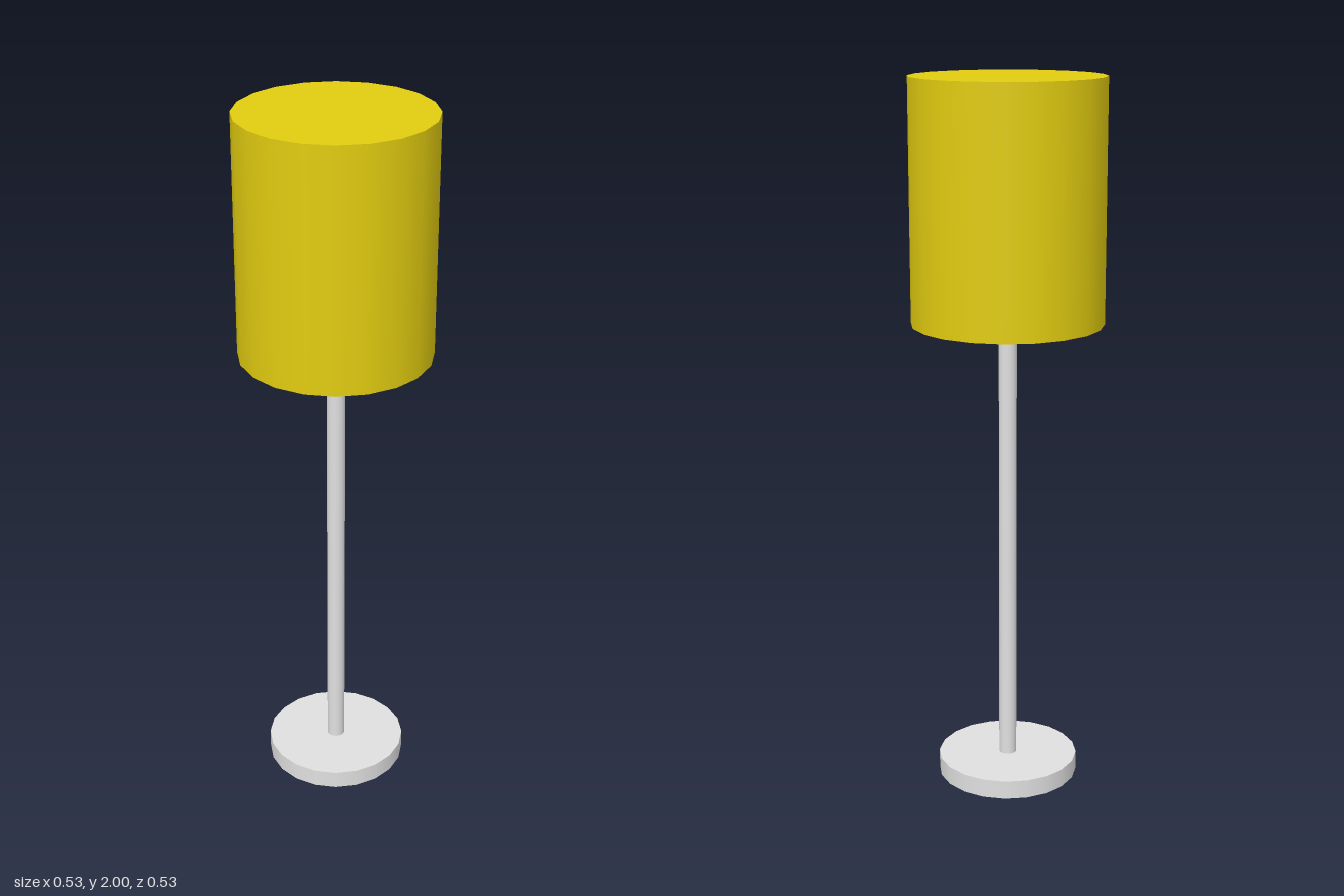
import * as THREE from 'three';

const SIDES = 20;

export function createModel() {
  const lamp = new THREE.Group();
  lamp.name = 'floorLamp';

  const metal = new THREE.MeshStandardMaterial({ color: 0xe0e0e0 });
  metal.name = 'light grey metal';
  const fabric = new THREE.MeshStandardMaterial({ color: 0xe2cc10 });
  fabric.name = 'yellow fabric';

  // Upright capped cylinder between two heights
  const addCylinder = (name, radius, bottom, top, material) => {
    const geometry = new THREE.CylinderGeometry(radius, radius, top - bottom, SIDES);
    const mesh = new THREE.Mesh(geometry, material);
    mesh.name = name;
    mesh.position.y = (bottom + top) / 2;
    lamp.add(mesh);
  };

  addCylinder('base', 0.2, 0, 0.053, metal);
  addCylinder('pole', 0.025, 0.053, 1.335, metal);
  addCylinder('shade', 0.267, 1.335, 2, fabric);

  return lamp;
}
